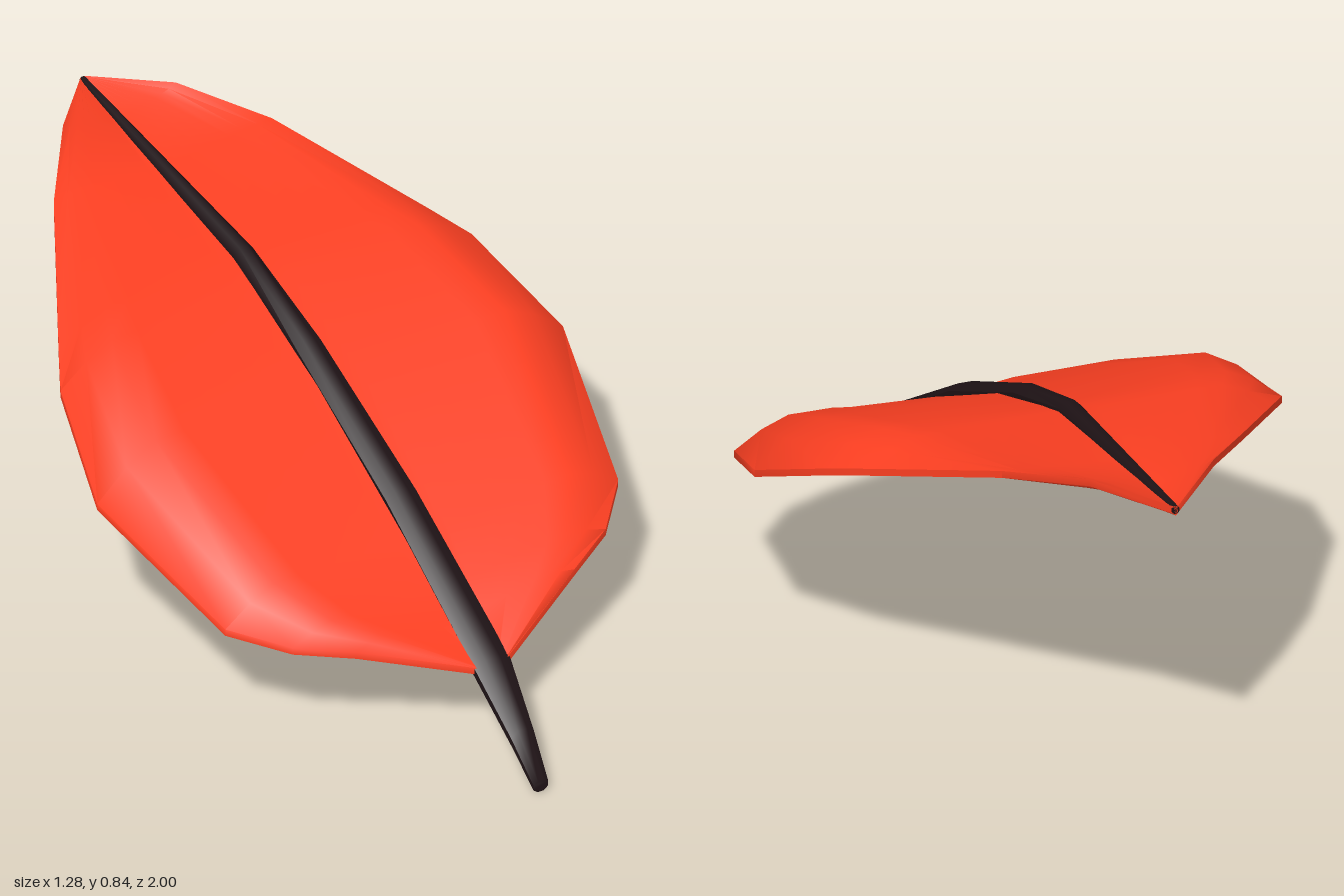
import * as THREE from 'three';
import { toCreasedNormals } from 'three/addons/utils/BufferGeometryUtils.js';

const { lerp } = THREE.MathUtils;

// Skin closed rings (counter-clockwise seen from +z, ordered from +z to -z) and cap both ends
function loft(rings) {
  const n = rings[0].length;
  const last = (rings.length - 1) * n;
  const index = [];
  for (let i = 0; i < last; i += n) {
    for (let j = 0; j < n; j++) {
      const a = i + j, b = i + (j + 1) % n;
      index.push(a, a + n, b, b, a + n, b + n);
    }
  }
  for (let j = 1; j < n - 1; j++) {
    index.push(0, j, j + 1, last, last + j + 1, last + j);
  }
  const geometry = new THREE.BufferGeometry();
  geometry.setAttribute('position', new THREE.Float32BufferAttribute(rings.flat(2), 3));
  geometry.setIndex(index);
  return toCreasedNormals(geometry, 0.9);
}

// Blade stations: z, half width, height at midrib, at shoulder and at rim
const bladeStations = [
  [0.79, 0.04, 0.23, 0.237, 0.24],
  [0.67, 0.30, 0.30, 0.332, 0.318],
  [0.60, 0.43, 0.343, 0.37, 0.34],
  [0.48, 0.54, 0.415, 0.435, 0.365],
  [0.08, 0.64, 0.612, 0.628, 0.52],
  [-0.20, 0.565, 0.71, 0.722, 0.642],
  [-0.30, 0.507, 0.742, 0.74, 0.678],
  [-0.65, 0.30, 0.777, 0.795, 0.80],
  [-0.84, 0.155, 0.796, 0.825, 0.842],
  [-1.00, 0.006, 0.813, 0.817, 0.82],
];

// Section of a thin plate: the top rises to a shoulder and curls to the rim,
// the underside follows it more gently; the right rim hangs slightly lower
function bladeRing([z, width, rib, shoulder, rim]) {
  const steps = 16;
  const bend = 0.75;
  const top = [];
  const bottom = [];
  for (let k = 0; k <= steps; k++) {
    const x = 1 - 2 * k / steps;
    const t = Math.abs(x);
    const edge = rim - (x < 0 ? 0.02 * width : 0);
    const y = t < bend
      ? lerp(rib, shoulder, t / bend)
      : lerp(shoulder, edge, ((t - bend) / (1 - bend)) ** 1.4);
    const under = lerp(y, lerp(rib, edge, t * t), 0.4) - 0.018;
    top.push([x * width, y, z]);
    bottom.unshift([x * width, under, z]);
  }
  return [...top, ...bottom];
}

// Stem stations: z, centre height, half width, half thickness
const stemStations = [
  [1.00, 0.016, 0.02, 0.016],
  [0.92, 0.103, 0.031, 0.024],
  [0.79, 0.225, 0.048, 0.027],
  [0.39, 0.463, 0.041, 0.027],
  [-0.015, 0.648, 0.034, 0.027],
  [-0.30, 0.739, 0.027, 0.027],
  [-1.00, 0.81, 0.009, 0.011],
];

// Eight-sided section of the stem
function stemRing([z, y, width, thickness]) {
  return Array.from({ length: 8 }, (_, k) => {
    const angle = (k + 0.5) / 8 * Math.PI * 2;
    return [Math.cos(angle) * width / 0.924, y + Math.sin(angle) * thickness / 0.924, z];
  });
}

function addPart(group, name, rings, color) {
  const mesh = new THREE.Mesh(loft(rings), new THREE.MeshStandardMaterial({ color }));
  mesh.name = name;
  group.add(mesh);
}

export function createModel() {
  const group = new THREE.Group();
  group.name = 'leaf';
  addPart(group, 'leafBlade', bladeStations.map(bladeRing), 0xff4022);
  addPart(group, 'stemAndMidrib', stemStations.map(stemRing), 0x1f1316);
  return group;
}
